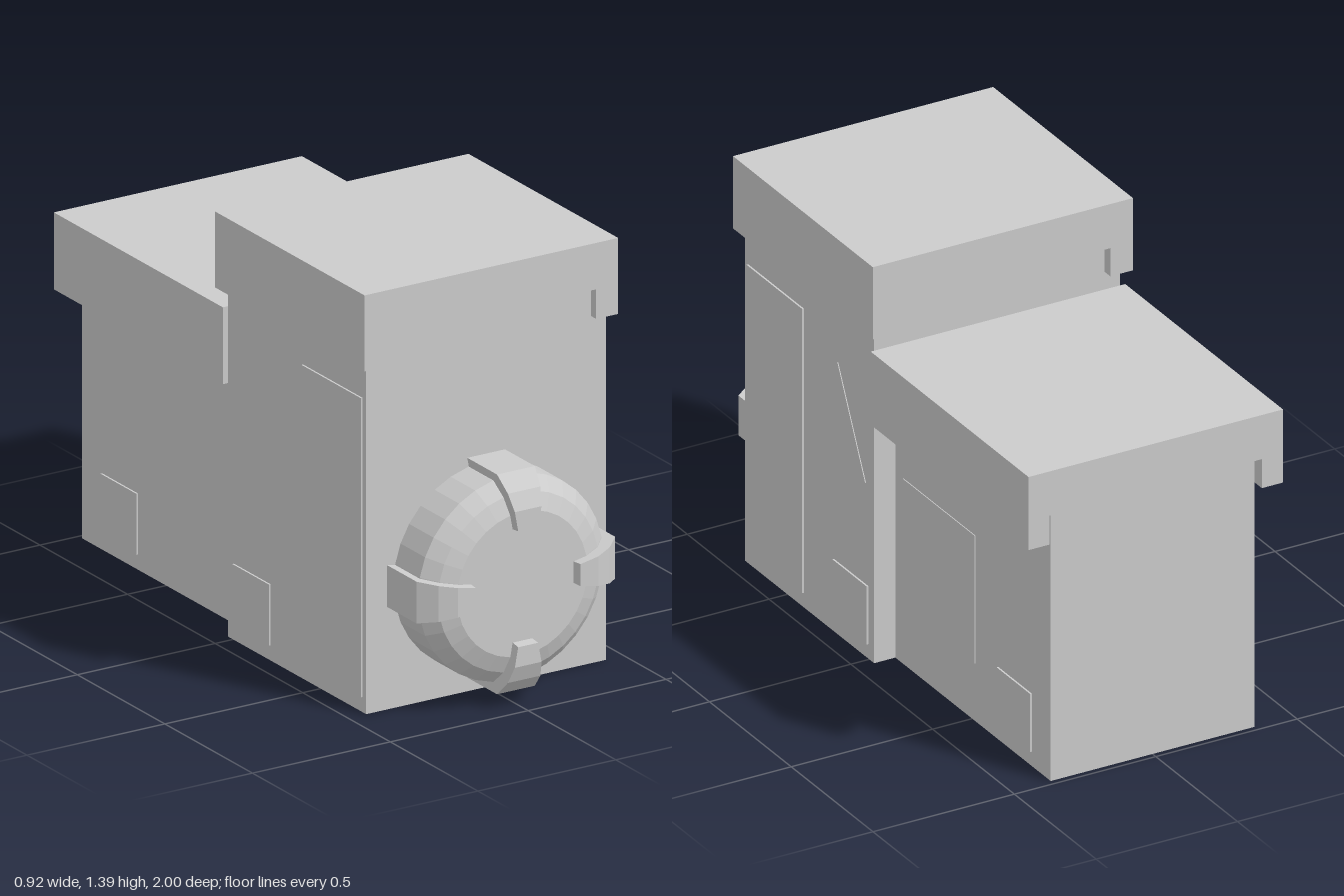
import * as THREE from 'three';

const material = new THREE.MeshStandardMaterial({ color: 0xcccccc, flatShading: true });

function add(parent, name, geometry) {
  const mesh = new THREE.Mesh(geometry, material);
  mesh.name = name;
  parent.add(mesh);
  return mesh;
}

// Box given by its min and max corners
function box(parent, name, [x0, y0, z0], [x1, y1, z1]) {
  const mesh = add(parent, name, new THREE.BoxGeometry(x1 - x0, y1 - y0, z1 - z0));
  mesh.position.set((x0 + x1) / 2, (y0 + y1) / 2, (z0 + z1) / 2);
  return mesh;
}

const shapeOf = (points) => new THREE.Shape(points.map(([x, y]) => new THREE.Vector2(x, y)));

// Lid with an inverted U section, running along z
function lid(parent, name, half, inner, bottom, top, z0, z1) {
  const slot = top - 0.152;
  const section = shapeOf([
    [-half, bottom], [-inner, bottom], [-inner, slot], [inner, slot],
    [inner, bottom], [half, bottom], [half, top], [-half, top],
  ]);
  const geometry = new THREE.ExtrudeGeometry(section, { depth: z1 - z0, bevelEnabled: false });
  add(parent, name, geometry.translate(0, 0, z0));
}

// Clamp with a hooked section, widening with its distance from the hatch centre
function clampGeometry() {
  const section = shapeOf([
    [0.75, 0.325], [0.9, 0.325], [0.945, 0.27], [0.962, 0.185], [1, 0.19],
    [1, 0.255], [0.977, 0.31], [0.93, 0.36], [0.75, 0.36],
  ]);
  const geometry = new THREE.ExtrudeGeometry(section, { depth: 2, bevelEnabled: false });
  geometry.translate(0, 0, -1).rotateY(-Math.PI / 2);
  const p = geometry.attributes.position;
  for (let i = 0; i < p.count; i++) p.setX(i, p.getX(i) * 0.19 * p.getY(i));
  geometry.computeVertexNormals();
  return geometry;
}

export function createModel() {
  const model = new THREE.Group();
  model.name = 'machineHousing';

  // Tall front block and lower, narrower rear block
  box(model, 'frontBody', [-0.435, 0, -0.03], [0.435, 1.25, 0.76]);
  box(model, 'rearBody', [-0.36, 0, -0.98], [0.36, 0.94, 0]);
  lid(model, 'frontLid', 0.46, 0.38, 1.138, 1.387, -0.065, 0.79);
  lid(model, 'rearLid', 0.45, 0.375, 0.828, 1.08, -1, -0.035);

  // Thin panels on both sides
  for (const side of [-1, 1]) {
    const panel = (name, half, y0, y1, z0, z1) => {
      const a = side * (half - 0.02), b = side * (half + 0.006);
      box(model, name, [Math.min(a, b), y0, z0], [Math.max(a, b), y1, z1]);
    };
    panel('doorPanel', 0.435, 0.05, 1.03, 0.4, 0.74);
    panel('frontVentPanel', 0.435, 0.05, 0.25, 0.005, 0.215);
    panel('rearVentPanel', 0.36, 0.05, 0.25, -0.865, -0.66);
  }

  // Flat plates on the left side
  box(model, 'squarePlate', [0.35, 0.2, -0.52], [0.363, 0.64, -0.08]);
  const triangle = shapeOf([[-0.36, 0.6], [-0.02, 0.6], [-0.19, 0.94]]);
  const plate = new THREE.ExtrudeGeometry(triangle, { depth: 0.013, bevelEnabled: false });
  add(model, 'trianglePlate', plate.rotateY(Math.PI / 2).translate(0.425, 0, 0));

  // Round hatch with four clamps
  const hatch = new THREE.Group();
  hatch.name = 'hatch';
  hatch.position.y = 0.405;
  model.add(hatch);
  const profile = [[0.336, 0.75], [0.336, 0.9], [0.292, 0.945], [0.236, 0.967], [0, 0.967]]
    .map(([r, z]) => new THREE.Vector2(r, z));
  add(hatch, 'hatchDome', new THREE.LatheGeometry(profile, 32).rotateX(Math.PI / 2));
  const clamp = clampGeometry();
  for (let i = 0; i < 4; i++) add(hatch, 'hatchClamp', clamp).rotation.z = (i * Math.PI) / 2;

  return model;
}
